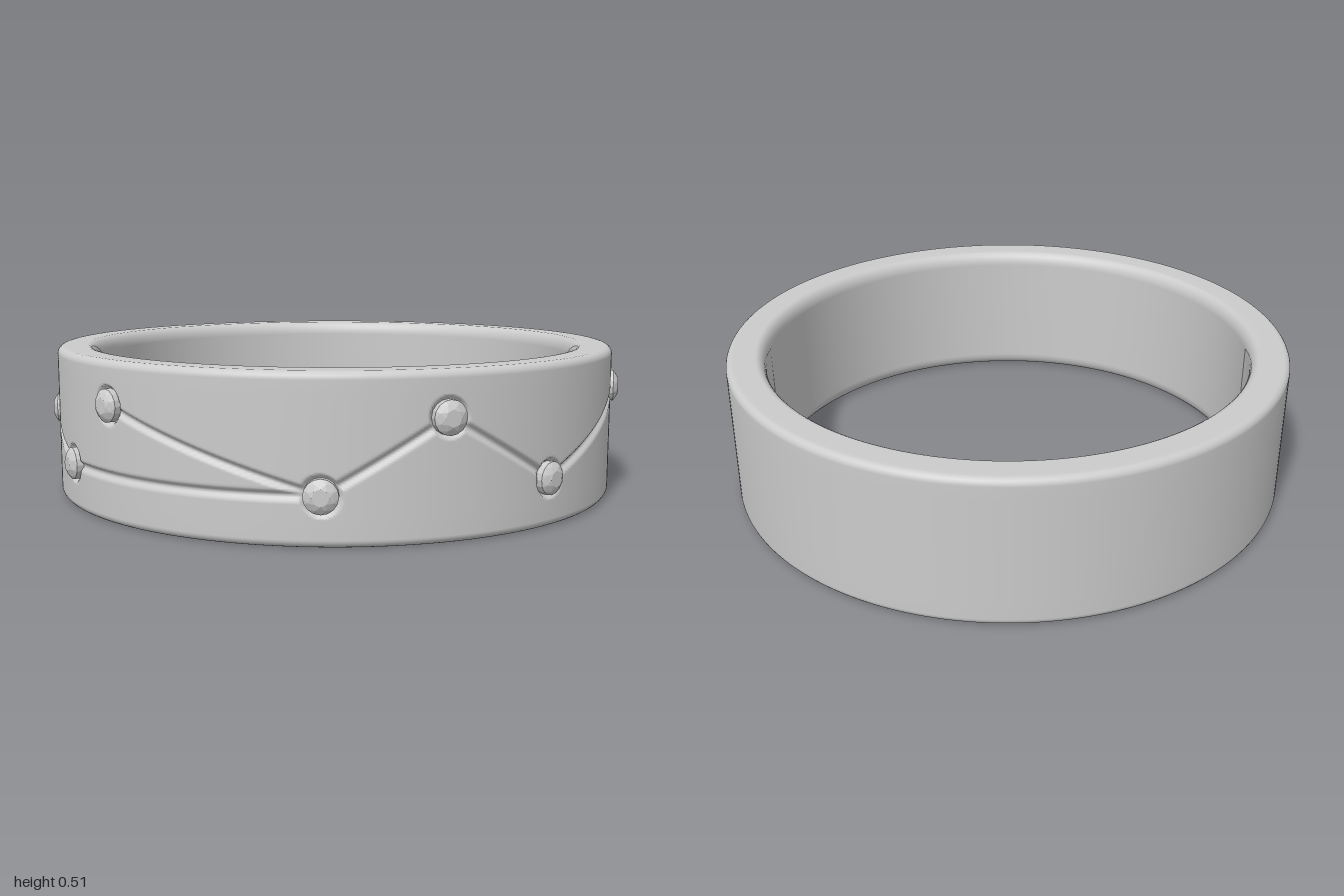
import * as THREE from 'three';
import { ConvexGeometry } from 'three/addons/geometries/ConvexGeometry.js';

const R = 0.9875, INNER = 0.852, H = 0.515;
const rad = THREE.MathUtils.degToRad;

// stones as [angle around the band in degrees, height]
const STONES = [[0, 0.155], [22, 0.375], [44.5, 0.155], [80, 0.375], [-42.8, 0.375], [-57.5, 0.155], [-81, 0.285]];
// engraved lines between pairs of stones
const LINKS = [[0, 1], [1, 2], [2, 3], [0, 4], [0, 5], [5, 6]];

// the band unrolled to a flat strip
const flat = STONES.map(([a, y]) => new THREE.Vector2(rad(a) * R, y));

function segmentDistance(p, a, b) {
  const ab = b.clone().sub(a);
  const t = THREE.MathUtils.clamp(p.clone().sub(a).dot(ab) / ab.lengthSq(), 0, 1);
  return p.distanceTo(a.clone().addScaledVector(ab, t));
}

// depth of grooves and stone seats at a point on the strip
function engraving(p) {
  let depth = 0;
  for (const [i, j] of LINKS) {
    const d = segmentDistance(p, flat[i], flat[j]);
    depth = Math.max(depth, 0.013 * (1 - THREE.MathUtils.smoothstep(d, 0.002, 0.018)));
  }
  for (const c of flat) {
    depth = Math.max(depth, 0.014 * (1 - THREE.MathUtils.smoothstep(p.distanceTo(c), 0.054, 0.064)));
  }
  return depth;
}

// closed cross-section with rounded edges, running up the outside first
function profile(rows) {
  const pts = [];
  const corner = (cx, cy, rx, ry, start) => {
    for (let i = 0; i <= 6; i++) {
      const t = rad(start + i * 15);
      pts.push(new THREE.Vector2(cx + rx * Math.cos(t), cy + ry * Math.sin(t)));
    }
  };
  const o = 0.025, ix = 0.035, iy = 0.05;
  corner(R - o, o, o, o, -90);
  for (let i = 0; i <= rows; i++) pts.push(new THREE.Vector2(R, 0.085 + (0.36 * i) / rows));
  corner(R - o, H - o, o, o, 0);
  corner(INNER + ix, H - iy, ix, iy, 90);
  corner(INNER + ix, iy, ix, iy, 180);
  pts.push(pts[0].clone());
  return pts;
}

// front half: fine mesh pressed inwards along the engraving
function engravedHalf() {
  const geo = new THREE.LatheGeometry(profile(56), 480, -Math.PI / 2, Math.PI);
  const pos = geo.attributes.position;
  const p = new THREE.Vector2();
  for (let i = 0; i < pos.count; i++) {
    const x = pos.getX(i), z = pos.getZ(i), r = Math.hypot(x, z);
    if (r < R - 1e-4) continue;
    p.set(Math.atan2(x, z) * R, pos.getY(i));
    const k = (r - engraving(p)) / r;
    pos.setX(i, x * k);
    pos.setZ(i, z * k);
  }
  geo.computeVertexNormals();
  return geo;
}

// faceted stone: round girdle, crown and flat table, facing +z
function stoneGeometry() {
  const pts = [];
  const ring = (n, r, z, turn = 0) => {
    for (let i = 0; i < n; i++) {
      const t = ((i + turn) / n) * Math.PI * 2;
      pts.push(new THREE.Vector3(r * Math.cos(t), r * Math.sin(t), z));
    }
  };
  ring(16, 0.053, -0.02);
  ring(16, 0.053, 0.008);
  ring(8, 0.041, 0.018, 0.5);
  ring(8, 0.026, 0.025);
  return new ConvexGeometry(pts);
}

export function createModel() {
  const model = new THREE.Group();
  model.name = 'ring';
  model.position.z = -0.0125;
  const metal = new THREE.MeshStandardMaterial({ color: 0xcccccc });
  const gem = new THREE.MeshStandardMaterial({ color: 0xcccccc, flatShading: true });

  const add = (geo, mat, name) => {
    const mesh = new THREE.Mesh(geo, mat);
    mesh.name = name;
    model.add(mesh);
    return mesh;
  };

  // band
  add(engravedHalf(), metal, 'engravedBandFront');
  add(new THREE.LatheGeometry(profile(1), 120, Math.PI / 2, Math.PI), metal, 'plainBandBack');

  // stones
  const geo = stoneGeometry();
  STONES.forEach(([a, y], i) => {
    const stone = add(geo, gem, `stone${i + 1}`);
    stone.position.set(R * Math.sin(rad(a)), y, R * Math.cos(rad(a)));
    stone.rotation.y = rad(a);
  });
  return model;
}
